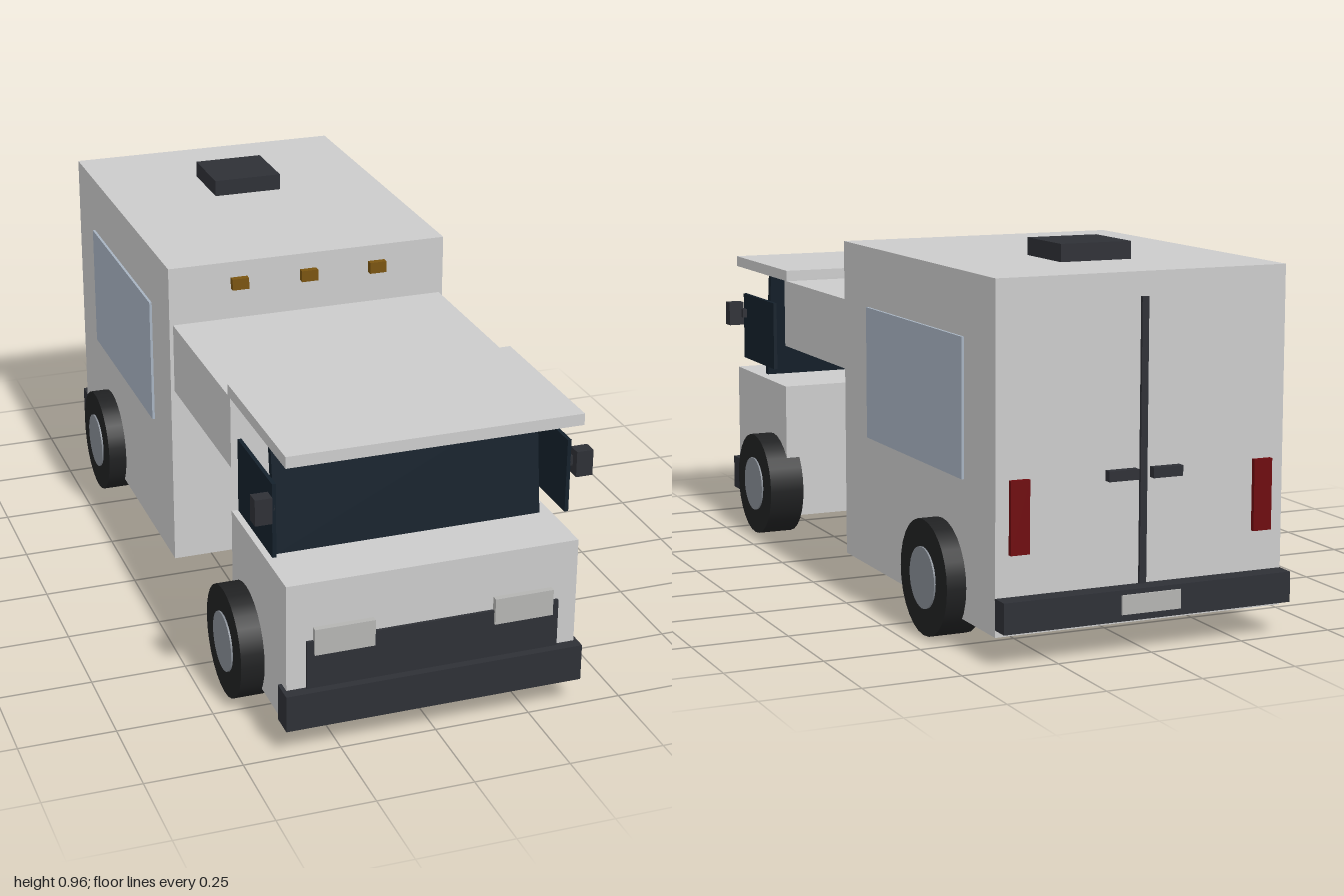
import * as THREE from 'three';

const mat = (color) => new THREE.MeshStandardMaterial({ color });

export function createModel() {
  const model = new THREE.Group();
  const body = mat(0xcccccc), trim = mat(0x2e3036), glass = mat(0x14202b);
  const pane = mat(0xa7b3c1), tyre = mat(0x202122), hub = mat(0x868c94);
  const amber = mat(0x7a5410), red = mat(0x6e0a0e), lamp = mat(0xb4b4b2);

  // Box given by its limits on each axis
  const box = (name, material, [x0, x1], [y0, y1], [z0, z1]) => {
    const mesh = new THREE.Mesh(new THREE.BoxGeometry(x1 - x0, y1 - y0, z1 - z0), material);
    mesh.position.set((x0 + x1) / 2, (y0 + y1) / 2, (z0 + z1) / 2);
    mesh.name = name;
    model.add(mesh);
    return mesh;
  };
  // The same box on both sides of the vehicle
  const pair = (name, material, [x0, x1], y, z) => {
    box(name + 'Left', material, [x0, x1], y, z);
    box(name + 'Right', material, [-x1, -x0], y, z);
  };

  // Main body volumes
  box('cargoBody', body, [-0.39, 0.39], [0.065, 0.92], [-0.945, 0.03]);
  box('upperCab', body, [-0.38, 0.38], [0.57, 0.76], [0.03, 0.54]);
  box('cabRoof', body, [-0.38, 0.38], [0.76, 0.79], [0.52, 0.97]);
  box('hood', body, [-0.38, 0.38], [0.065, 0.45], [0.54, 0.97]);
  box('roofVent', trim, [-0.097, 0.097], [0.92, 0.965], [-0.69, -0.5]);

  // Glazing
  const windshield = box('windshield', glass, [-0.35, 0.35], [0.448, 0.762], [0.762, 0.782]);
  windshield.rotation.x = -0.13;
  pair('cabWindow', glass, [0.377, 0.387], [0.49, 0.685], [0.62, 0.89]);
  pair('sideWindow', pane, [0.385, 0.397], [0.415, 0.762], [-0.765, -0.145]);

  // Door mirrors on short arms
  pair('mirrorArm', trim, [0.38, 0.4], [0.615, 0.64], [0.86, 0.89]);
  pair('mirror', trim, [0.393, 0.437], [0.592, 0.66], [0.875, 0.912]);

  // Front end
  box('grille', trim, [-0.33, 0.33], [0.155, 0.295], [0.965, 0.978]);
  box('frontBumper', trim, [-0.39, 0.39], [0.07, 0.167], [0.935, 1]);
  pair('headlight', lamp, [0.157, 0.312], [0.26, 0.33], [0.965, 0.986]);
  for (const x of [-0.195, 0, 0.195])
    box('markerLight', amber, [x - 0.023, x + 0.023], [0.845, 0.876], [0.025, 0.048]);

  // Rear end
  box('rearBumper', trim, [-0.39, 0.39], [0.083, 0.16], [-0.995, -0.94]);
  box('rearPlate', lamp, [-0.08, 0.08], [0.1, 0.148], [-1, -0.99]);
  box('doorSeam', trim, [-0.009, 0.009], [0.15, 0.86], [-0.953, -0.94]);
  pair('doorHandle', trim, [0.02, 0.1], [0.42, 0.446], [-0.966, -0.94]);
  pair('tailLight', red, [0.305, 0.355], [0.262, 0.442], [-0.957, -0.94]);

  // Wheels: tyre plus hub disc
  const tyreGeo = new THREE.CylinderGeometry(0.147, 0.147, 0.1, 28).rotateZ(Math.PI / 2);
  const hubGeo = new THREE.CylinderGeometry(0.078, 0.078, 0.105, 28).rotateZ(Math.PI / 2);
  for (const z of [0.655, -0.63])
    for (const side of [-1, 1]) {
      const wheel = new THREE.Group();
      wheel.name = (z > 0 ? 'front' : 'rear') + 'Wheel' + (side > 0 ? 'Left' : 'Right');
      const tyreMesh = new THREE.Mesh(tyreGeo, tyre);
      tyreMesh.name = 'tyre';
      const hubMesh = new THREE.Mesh(hubGeo, hub);
      hubMesh.name = 'hub';
      hubMesh.position.x = side * 0.002;
      wheel.add(tyreMesh, hubMesh);
      wheel.position.set(side * 0.391, 0.147, z);
      model.add(wheel);
    }

  return model;
}
